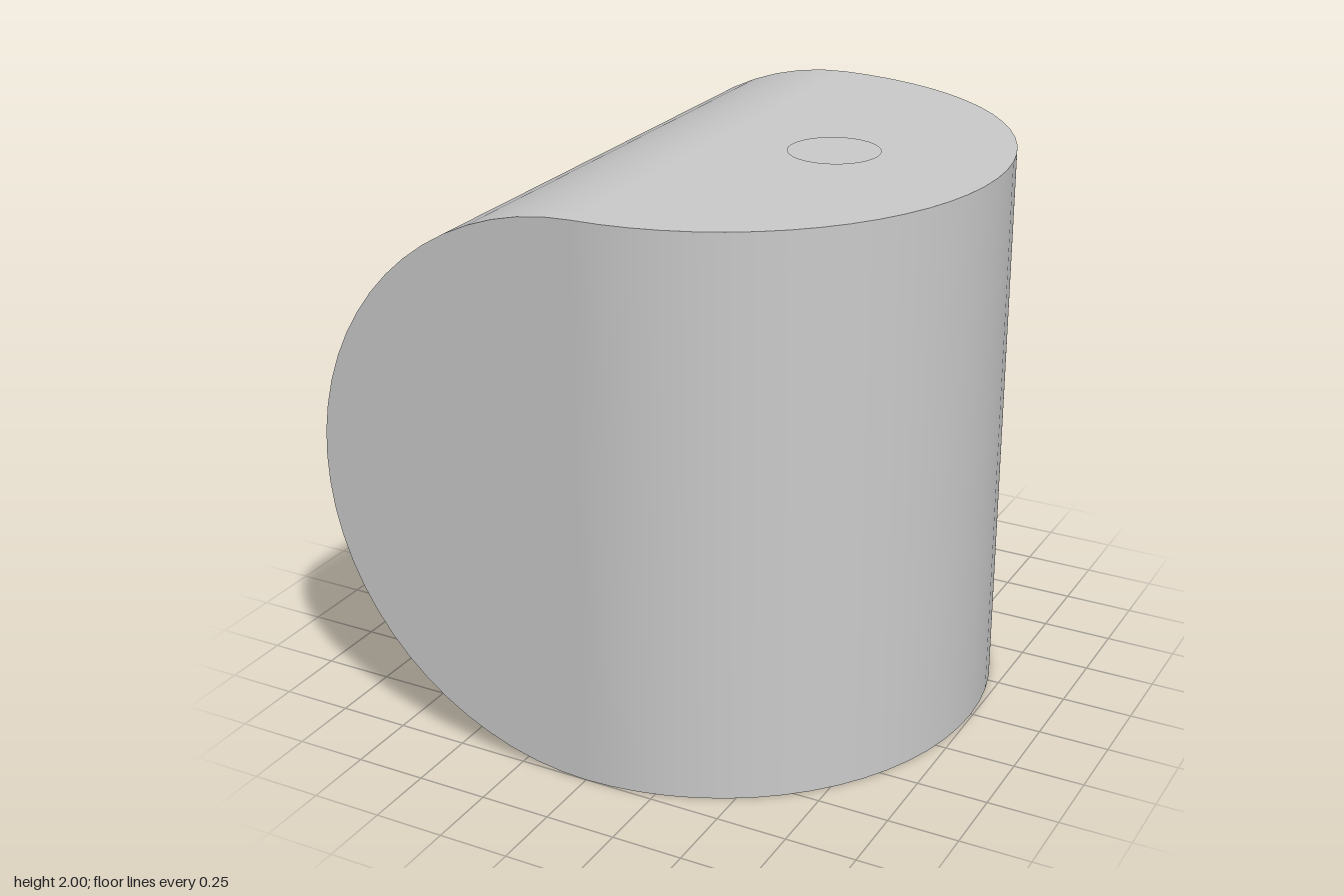
import * as THREE from 'three';

const R = 0.993;        // half of the block's side
const LIFT = 0.013;     // gap between a pip and the face beneath it
const PIP_R = 0.157;
const PIP_X = 0.417;

export function createModel() {
  const group = new THREE.Group();
  const material = new THREE.MeshStandardMaterial({ color: 0xcccccc });

  const add = (name, geometry, x, y, z) => {
    const mesh = new THREE.Mesh(geometry, material);
    mesh.name = name;
    mesh.position.set(x, y, z);
    group.add(mesh);
  };

  // Two half cylinders at right angles meet on the square at x = 0
  const halfCylinder = () => new THREE.CylinderGeometry(R, R, 2 * R, 32, 1, false, 0, Math.PI);
  const zc = 1 - R;
  add('uprightHalf', halfCylinder(), 0, R, zc);
  add('lyingHalf', halfCylinder().rotateZ(Math.PI).rotateX(Math.PI / 2), 0, R, zc);

  // Flat round pips: one on top, two on the back
  const pip = () => new THREE.CircleGeometry(PIP_R, 32);
  add('topPip', pip().rotateX(-Math.PI / 2), PIP_X, 2 * R + LIFT, zc);
  for (const side of [-1, 1]) {
    add(side > 0 ? 'backPipUpper' : 'backPipLower', pip().rotateY(Math.PI),
      -PIP_X, R + side * 0.35, zc - R - LIFT);
  }
  return group;
}
